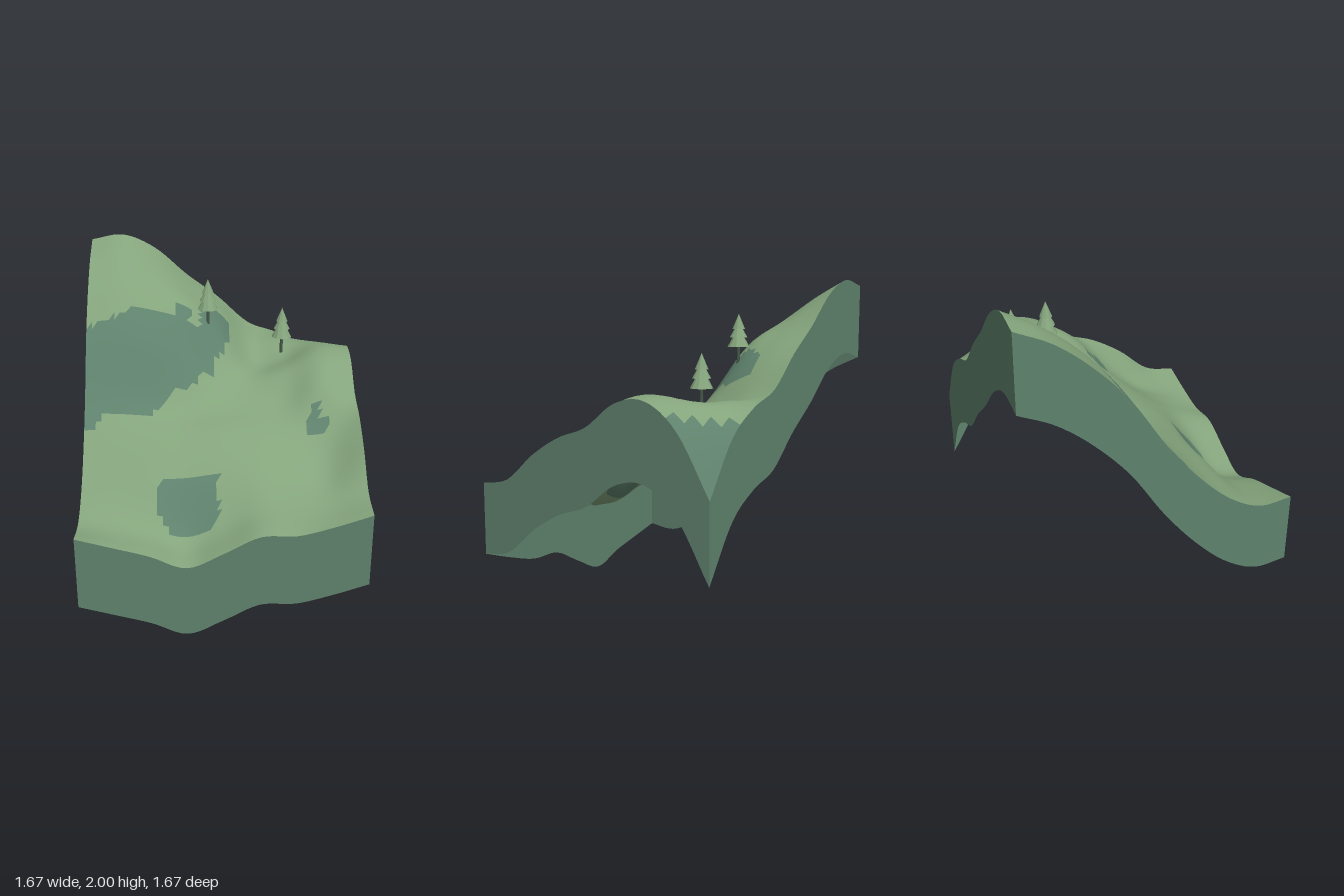
import * as THREE from 'three';

const HALF = 0.835, CELLS = 48, DEPTH = 0.447;

// Control heights: rows run from the back (-z) to the front, columns from -x to +x
const HEIGHTS = [
  [1.97, 2.00, 1.91, 1.73, 1.575, 1.39, 1.31, 1.17, 0.87],
  [1.87, 1.885, 1.81, 1.69, 1.54, 1.33, 1.33, 1.31, 1.205],
  [1.705, 1.72, 1.68, 1.62, 1.45, 1.24, 1.265, 1.36, 1.35],
  [1.48, 1.49, 1.46, 1.37, 1.24, 1.19, 1.25, 1.345, 1.325],
  [1.175, 1.16, 1.13, 1.10, 1.09, 1.09, 1.11, 1.23, 1.18],
  [0.925, 0.95, 0.97, 0.98, 1.00, 1.00, 0.99, 1.00, 1.105],
  [0.735, 0.77, 0.80, 0.81, 0.84, 0.86, 0.84, 0.83, 0.985],
  [0.632, 0.61, 0.58, 0.53, 0.61, 0.71, 0.73, 0.745, 0.82],
  [0.645, 0.587, 0.528, 0.45, 0.54, 0.645, 0.65, 0.705, 0.775],
];

// Outlines of the darker ground, as [x, z]
const PATCHES = [
  [[-0.84, -0.25], [-0.72, -0.28], [-0.62, -0.31], [-0.54, -0.35], [-0.12, -0.35], [-0.12, -0.48], [-0.03, -0.6],
    [0.06, -0.6], [0.06, -0.42], [0.03, -0.33], [-0.02, -0.28], [-0.1, -0.2], [-0.13, -0.13], [-0.2, -0.08],
    [-0.28, -0.06], [-0.35, 0], [-0.43, 0.06], [-0.71, 0.06], [-0.77, 0.13], [-0.84, 0.13]],
  [[-0.28, -0.42], [-0.17, -0.42], [-0.17, -0.38], [-0.22, -0.34], [-0.28, -0.36]],
  [[-0.11, -0.24], [-0.03, -0.24], [-0.03, -0.17], [-0.11, -0.17]],
  [[-0.35, 0.42], [-0.01, 0.42], [-0.04, 0.48], [-0.01, 0.55], [-0.06, 0.62], [-0.32, 0.62], [-0.4, 0.49]],
  [[0.56, 0.07], [0.61, 0.07], [0.6, 0.14], [0.68, 0.16], [0.63, 0.21], [0.51, 0.2], [0.52, 0.15]],
  [[0.56, -0.84], [0.56, -0.77], [0.63, -0.76], [0.63, -0.7], [0.7, -0.69], [0.7, -0.63], [0.77, -0.62],
    [0.77, -0.56], [0.84, -0.56], [0.84, -0.84]],
];

// Cubic interpolation through evenly spaced values, t from 0 to 1
function spline(v, t) {
  const n = v.length - 1, s = Math.min(Math.max(t, 0), 1) * n, i = Math.min(Math.floor(s), n - 1), f = s - i;
  const b = v[i], c = v[i + 1];
  const a = i > 0 ? v[i - 1] : 2 * b - c, d = i + 2 <= n ? v[i + 2] : 2 * c - b;
  return b + 0.5 * f * (c - a + f * (2 * a - 5 * b + 4 * c - d + f * (3 * (b - c) + d - a)));
}

function heightAt(x, z) {
  const u = (x + HALF) / (2 * HALF), w = (z + HALF) / (2 * HALF);
  return spline(HEIGHTS.map((row) => spline(row, u)), w);
}

function inside(poly, x, z) {
  let hit = false;
  poly.forEach(([ax, az], i) => {
    const [bx, bz] = poly[(i + 1) % poly.length];
    if ((az > z) !== (bz > z) && x < ax + ((z - az) * (bx - ax)) / (bz - az)) hit = !hit;
  });
  return hit;
}

// Hill surface, its faces sorted into grass and dark ground
function buildGround() {
  const pos = [], lists = [[], []], at = (i) => -HALF + (2 * HALF * i) / CELLS, row = CELLS + 1;
  for (let j = 0; j <= CELLS; j++)
    for (let i = 0; i <= CELLS; i++) pos.push(at(i), heightAt(at(i), at(j)), at(j));
  const addFace = (...ids) => {
    const x = ids.reduce((s, k) => s + pos[k * 3], 0) / 3, z = ids.reduce((s, k) => s + pos[k * 3 + 2], 0) / 3;
    lists[PATCHES.some((p) => inside(p, x, z)) ? 1 : 0].push(...ids);
  };
  for (let j = 0; j < CELLS; j++)
    for (let i = 0; i < CELLS; i++) {
      const a = j * row + i, b = a + 1, c = a + row, d = c + 1;
      addFace(a, c, b);
      addFace(b, c, d);
    }
  const geo = new THREE.BufferGeometry();
  geo.setAttribute('position', new THREE.Float32BufferAttribute(pos, 3));
  geo.setIndex([...lists[0], ...lists[1]]);
  geo.addGroup(0, lists[0].length, 0);
  geo.addGroup(lists[0].length, lists[1].length, 1);
  geo.computeVertexNormals();
  return geo;
}

// One side wall of even depth below the edge; corners run left to right as seen from outside
function buildWall([x0, z0], [x1, z1]) {
  const pos = [], index = [];
  for (let i = 0; i <= CELLS; i++) {
    const t = i / CELLS, x = x0 + (x1 - x0) * t, z = z0 + (z1 - z0) * t, y = heightAt(x, z);
    pos.push(x, y, z, x, y - DEPTH, z);
    if (i < CELLS) {
      const k = i * 2;
      index.push(k, k + 1, k + 2, k + 2, k + 1, k + 3);
    }
  }
  const geo = new THREE.BufferGeometry();
  geo.setAttribute('position', new THREE.Float32BufferAttribute(pos, 3));
  geo.setIndex(index);
  geo.computeVertexNormals();
  return geo;
}

export function createModel() {
  const model = new THREE.Group();
  const material = (name, color, extra = {}) =>
    Object.assign(new THREE.MeshStandardMaterial({ color, ...extra }), { name });
  const grass = material('grass green', 0x84a47c, { side: THREE.DoubleSide });
  const earth = material('dark green', 0x5f826d, { side: THREE.DoubleSide });
  const needles = material('needle green', 0x84a47c, { flatShading: true });
  const bark = material('bark', 0x46574a);
  const add = (parent, name, geo, mat, y = 0) => {
    const mesh = new THREE.Mesh(geo, mat);
    mesh.name = name;
    mesh.position.y = y;
    parent.add(mesh);
    return mesh;
  };

  add(model, 'hillside', buildGround(), [grass, earth]);

  // Side walls
  const corners = [[-HALF, HALF], [HALF, HALF], [HALF, -HALF], [-HALF, -HALF]];
  ['frontWall', 'rightWall', 'backWall', 'leftWall'].forEach((name, i) =>
    add(model, name, buildWall(corners[i], corners[(i + 1) % 4]), earth));

  // Fir trees: trunk and three stacked tiers
  const tiers = [[0.115, 0.065, 0.03, 0.065], [0.17, 0.053, 0.02, 0.06], [0.22, 0.038, 0, 0.09]];
  for (const [x, y, z] of [[-0.07, 1.488, -0.42], [0.415, 1.278, -0.49]]) {
    const tree = new THREE.Group();
    tree.name = 'firTree';
    tree.position.set(x, y, z);
    add(tree, 'trunk', new THREE.CylinderGeometry(0.009, 0.011, 0.17, 8), bark, 0.065);
    tiers.forEach(([base, r, top, h]) =>
      add(tree, 'branchTier', new THREE.CylinderGeometry(top, r, h, 10), needles, base + h / 2));
    model.add(tree);
  }
  return model;
}
